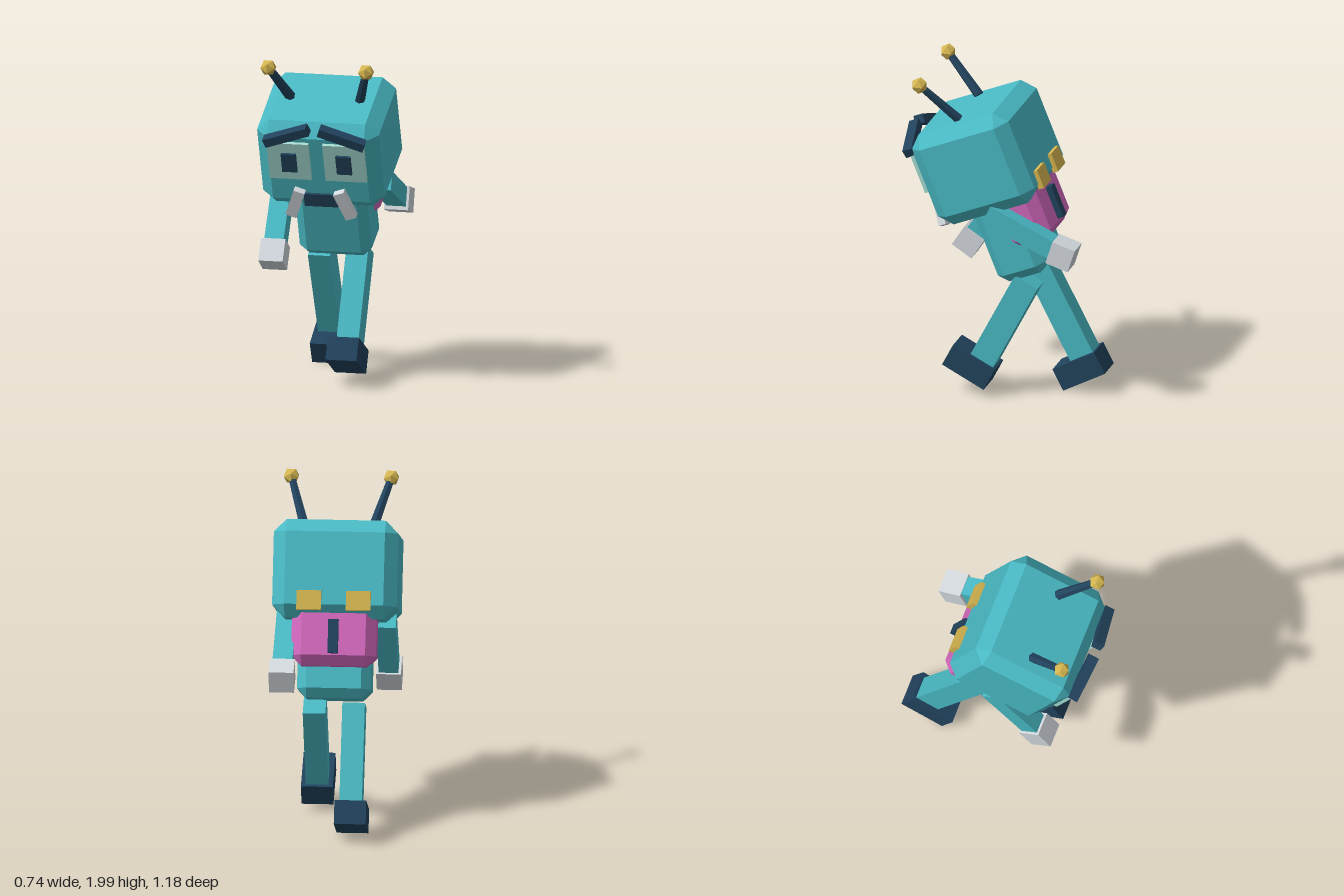
import * as THREE from 'three';
import { ConvexGeometry } from 'three/addons/geometries/ConvexGeometry.js';

const deg = THREE.MathUtils.degToRad;

function paint(name, color) {
  const m = new THREE.MeshStandardMaterial({ color, flatShading: true });
  m.name = name;
  return m;
}

// box with every edge cut at 45 degrees
function chamferBox(w, h, d, c) {
  const points = [];
  for (const x of [-1, 1]) for (const y of [-1, 1]) for (const z of [-1, 1]) {
    for (const [a, b, e] of [[0, c, c], [c, 0, c], [c, c, 0]]) {
      points.push(new THREE.Vector3(x * (w / 2 - a), y * (h / 2 - b), z * (d / 2 - e)));
    }
  }
  return new ConvexGeometry(points);
}

function add(parent, name, geometry, material, x, y, z, rx = 0, rz = 0) {
  const mesh = new THREE.Mesh(geometry, material);
  mesh.name = name;
  mesh.position.set(x, y, z);
  mesh.rotation.set(rx, 0, rz);
  parent.add(mesh);
  return mesh;
}

function addGroup(parent, name, x, y, z, rx) {
  const group = new THREE.Group();
  group.name = name;
  group.position.set(x, y, z);
  group.rotation.x = rx;
  parent.add(group);
  return group;
}

const box = (w, h, d) => new THREE.BoxGeometry(w, h, d);

export function createModel() {
  const teal = paint('teal skin', 0x49b9c4);
  const navy = paint('navy', 0x21425c);
  const gold = paint('gold', 0xd4b550);
  const pale = paint('pale grey', 0xd3d9de);
  const mint = paint('mint eye', 0xa4dbd0);
  const pink = paint('magenta pack', 0xd268bd);

  const model = new THREE.Group();
  model.name = 'walkingCreature';

  // upper body leans forward as one piece, origin at the head centre
  const upper = addGroup(model, 'upperBody', 0, 1.463, 0.142, deg(22));
  add(upper, 'head', chamferBox(0.735, 0.582, 0.64, 0.075), teal, 0, 0, 0);
  add(upper, 'torso', chamferBox(0.435, 0.52, 0.317, 0.055), teal, 0, -0.49, 0);
  add(upper, 'mouth', box(0.2, 0.085, 0.04), navy, 0, -0.21, 0.316);

  // backpack with a handle
  add(upper, 'backpack', chamferBox(0.5, 0.39, 0.27, 0.06), pink, 0, -0.375, -0.14);
  add(upper, 'packHandle', box(0.06, 0.2, 0.055), navy, 0, -0.4, -0.285);

  // paired face and pack details
  for (const s of [-1, 1]) {
    const side = s > 0 ? 'left' : 'right';
    add(upper, side + 'Eye', box(0.25, 0.25, 0.04), mint, s * 0.168, 0.065, 0.322);
    add(upper, side + 'Pupil', box(0.09, 0.125, 0.03), navy, s * 0.165, 0.062, 0.343);
    add(upper, side + 'Eyebrow', box(0.285, 0.055, 0.06), navy, s * 0.167, 0.25, 0.342, 0, -s * deg(20));
    add(upper, side + 'Tusk', box(0.068, 0.185, 0.047), pale, s * 0.15, -0.22, 0.349, 0, s * deg(20));
    add(upper, side + 'PackClasp', box(0.145, 0.115, 0.035), gold, s * 0.146, -0.193, -0.328);
  }

  // antennae with faceted tips
  for (const s of [-1, 1]) {
    const side = s > 0 ? 'left' : 'right';
    const base = new THREE.Vector3(s * 0.21, 1.735, 0.255);
    const tip = new THREE.Vector3(s * 0.295, 1.953, 0.47);
    const span = tip.clone().sub(base);
    const stalk = add(model, side + 'Antenna', new THREE.CylinderGeometry(0.023, 0.031, span.length(), 6),
      navy, ...base.clone().lerp(tip, 0.5).toArray());
    stalk.quaternion.setFromUnitVectors(new THREE.Vector3(0, 1, 0), span.normalize());
    add(model, side + 'AntennaTip', new THREE.IcosahedronGeometry(0.05, 0), gold, ...tip.toArray());
  }

  // arms swing opposite to the legs
  for (const [side, s, swing, wrist] of [['left', 1, 65, 7], ['right', -1, -35, 2]]) {
    const arm = addGroup(model, side + 'ArmGroup', s * 0.293, 1.205, 0.04, deg(swing));
    add(arm, side + 'Arm', box(0.117, 0.45, 0.115), teal, 0, -0.22, 0);
    add(arm, side + 'Hand', box(0.147, 0.143, 0.143), pale, 0, -0.5, 0, deg(wrist));
  }

  // legs in mid stride, heels flush with the backs of the legs
  for (const [side, s, swing] of [['left', 1, -27.5], ['right', -1, 27.5]]) {
    const leg = addGroup(model, side + 'LegGroup', s * 0.117, 0.74, -0.15, deg(swing));
    add(leg, side + 'Leg', box(0.133, 0.59, 0.155), teal, 0, -0.295, 0);
    add(leg, side + 'Foot', box(0.188, 0.143, 0.287), navy, 0, -0.659, 0.048);
  }

  return model;
}
